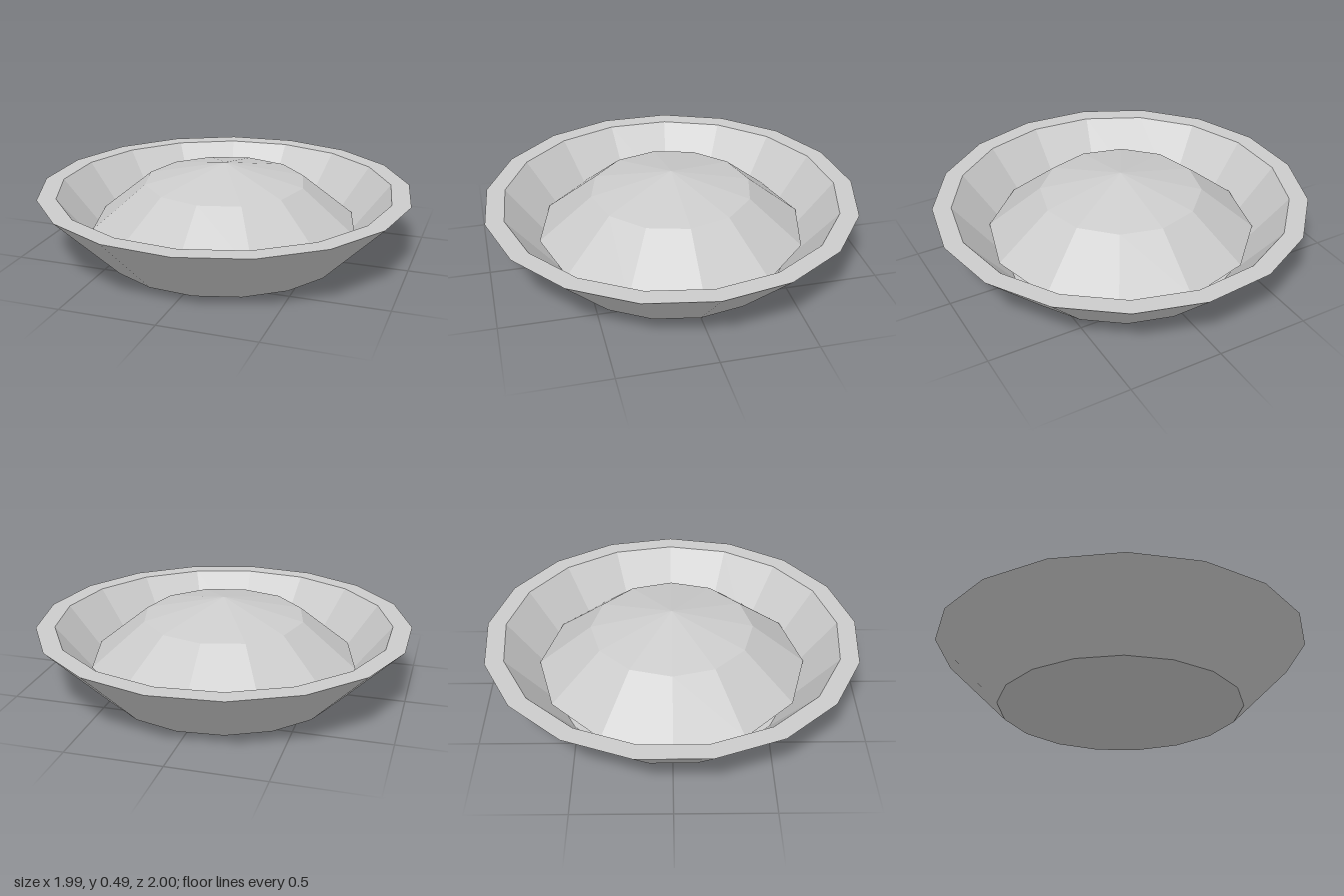
import * as THREE from 'three';

const material = new THREE.MeshStandardMaterial({
  color: 0xcccccc,
  flatShading: true,
  side: THREE.DoubleSide,
});

// Faceted turned part with one corner pointing to +x; profile is [radius, height]
function turned(name, profile, sides) {
  const points = profile.map(([r, y]) => new THREE.Vector2(r, y));
  const mesh = new THREE.Mesh(new THREE.LatheGeometry(points, sides, Math.PI / 2), material);
  mesh.name = name;
  mesh.position.x = -0.0085; // an odd-sided rim is slightly off centre
  return mesh;
}

export function createModel() {
  const group = new THREE.Group();
  group.name = 'filledBowl';

  // Bowl: base, sloping outer wall, flat rim, inner wall and floor
  group.add(turned('bowl', [
    [0, 0], [0.655, 0], [1.004, 0.35], [0.904, 0.35], [0.64, 0.02], [0, 0.02],
  ], 17));

  // Shallow mound of contents rising above the rim
  group.add(turned('contents', [[0.722, 0.154], [0.434, 0.39], [0, 0.49]], 12));

  return group;
}
